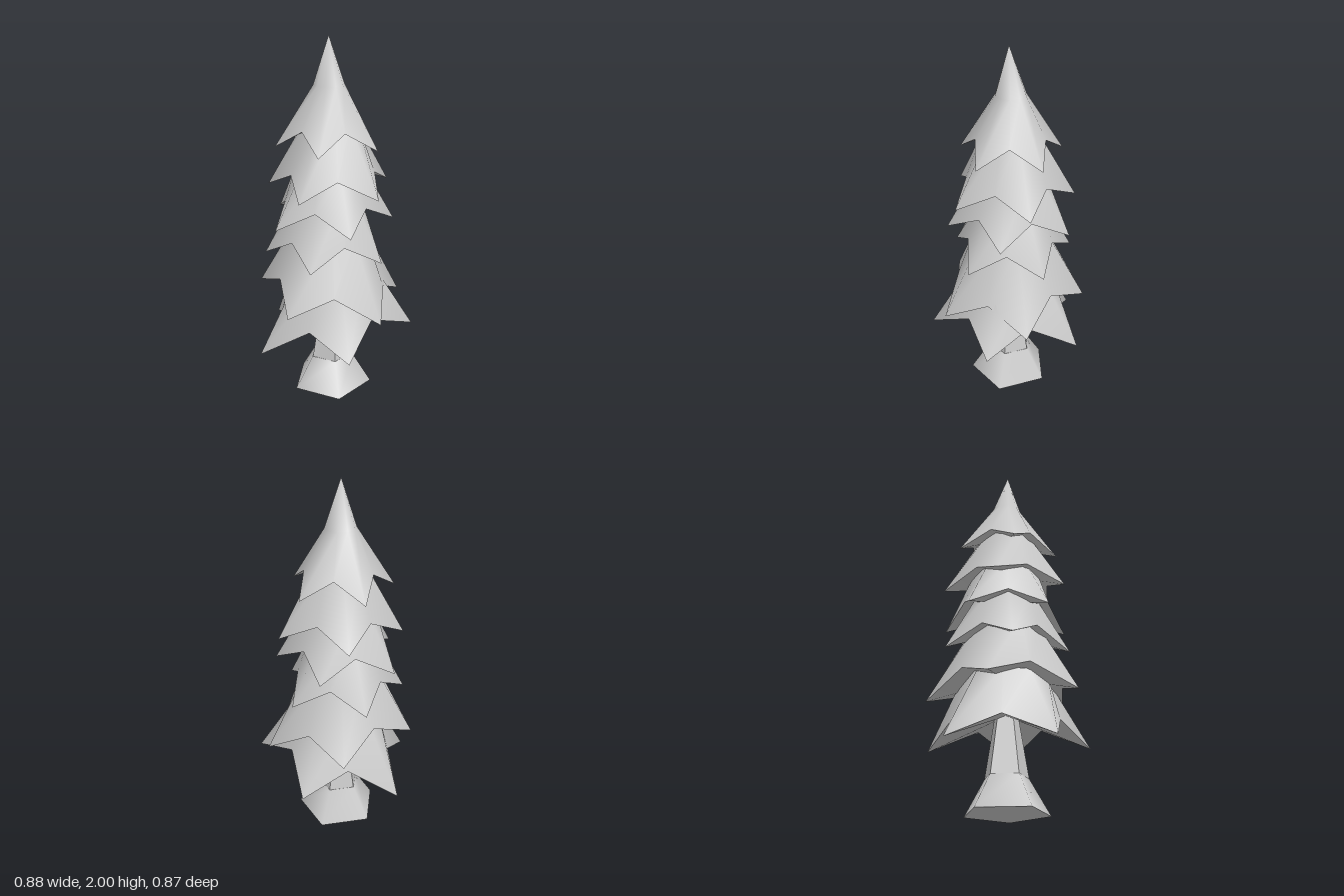
import * as THREE from 'three';

const POINTS = 5;
const RIM = POINTS * 2;

const material = new THREE.MeshStandardMaterial({ color: 0xcccccc, side: THREE.DoubleSide });
const facetedMaterial = new THREE.MeshStandardMaterial({ color: 0xcccccc, flatShading: true });

// Bottom to top. turn: angle of the first tip in degrees, tilt: rise per unit of x,
// tip / notch / top: [radius, height] of the rim tips, rim notches and upper ring.
const TIERS = [
  { cx: -0.015, turn: 0, tilt: 0.13, tip: [0.455, 0.343], notch: [0.295, 0.465], top: [0.23, 0.72] },
  { cx: -0.022, turn: 44, tilt: -0.1, tip: [0.42, 0.557], notch: [0.3, 0.67], top: [0.2, 0.96] },
  { cx: -0.04, turn: 26, tilt: 0, tip: [0.345, 0.825], notch: [0.245, 0.93], top: [0.18, 1.14] },
  { cx: -0.03, turn: 65, tilt: 0, tip: [0.35, 1.02], notch: [0.24, 1.12], top: [0.18, 1.32] },
  { cx: -0.02, turn: 39, tilt: 0, tip: [0.348, 1.2], notch: [0.235, 1.293], top: [0.14, 1.56] },
  { cx: -0.03, turn: 22, tilt: 0, tip: [0.287, 1.43], notch: [0.19, 1.53], top: [0.083, 1.75], apex: 2 },
];

function makeGeometry(positions, indices) {
  const geometry = new THREE.BufferGeometry();
  geometry.setAttribute('position', new THREE.Float32BufferAttribute(positions, 3));
  geometry.setIndex(indices);
  geometry.computeVertexNormals();
  return geometry;
}

function createTier({ cx, turn, tilt, tip, notch, top, apex }, number) {
  // Point on a ring, alternating tip and notch directions
  const ringPoint = (i, [radius, y]) => {
    const angle = THREE.MathUtils.degToRad(turn) + (i / RIM) * Math.PI * 2;
    const x = cx + radius * Math.cos(angle);
    return [x, y + tilt * x, radius * Math.sin(angle)];
  };
  const rim = [], upper = [], skirtFaces = [], underFaces = [];
  for (let i = 0; i < RIM; i++) {
    const j = (i + 1) % RIM;
    rim.push(...ringPoint(i, i % 2 ? notch : tip));
    upper.push(...ringPoint(i, top));
    skirtFaces.push(i, RIM + i, j, j, RIM + i, RIM + j);
    if (apex) skirtFaces.push(RIM + i, 2 * RIM, RIM + j);
    underFaces.push(RIM, i, j);
  }
  const peak = apex ? [cx, apex, 0.01] : [];

  const tier = new THREE.Group();
  tier.name = `branchTier${number}`;
  const skirt = new THREE.Mesh(makeGeometry([...rim, ...upper, ...peak], skirtFaces), material);
  skirt.name = 'skirt';
  const underside = new THREE.Mesh(makeGeometry([...rim, cx, notch[1] + 0.04, 0], underFaces), material);
  underside.name = 'underside';
  tier.add(skirt, underside);
  return tier;
}

// Five-sided tapered post with one corner towards +x
function createPost(name, topRadius, bottomRadius, bottom, height, postMaterial) {
  const geometry = new THREE.CylinderGeometry(topRadius, bottomRadius, height, 5, 1, false, Math.PI / 2);
  const post = new THREE.Mesh(geometry, postMaterial);
  post.name = name;
  post.position.set(-0.022, bottom + height / 2, 0);
  return post;
}

export function createModel() {
  const tree = new THREE.Group();
  tree.name = 'tree';
  tree.add(createPost('trunkFoot', 0.121, 0.232, 0, 0.18, material));
  tree.add(createPost('trunk', 0.06, 0.121, 0.175, 0.36, facetedMaterial));
  TIERS.forEach((tier, i) => tree.add(createTier(tier, i + 1)));
  return tree;
}
